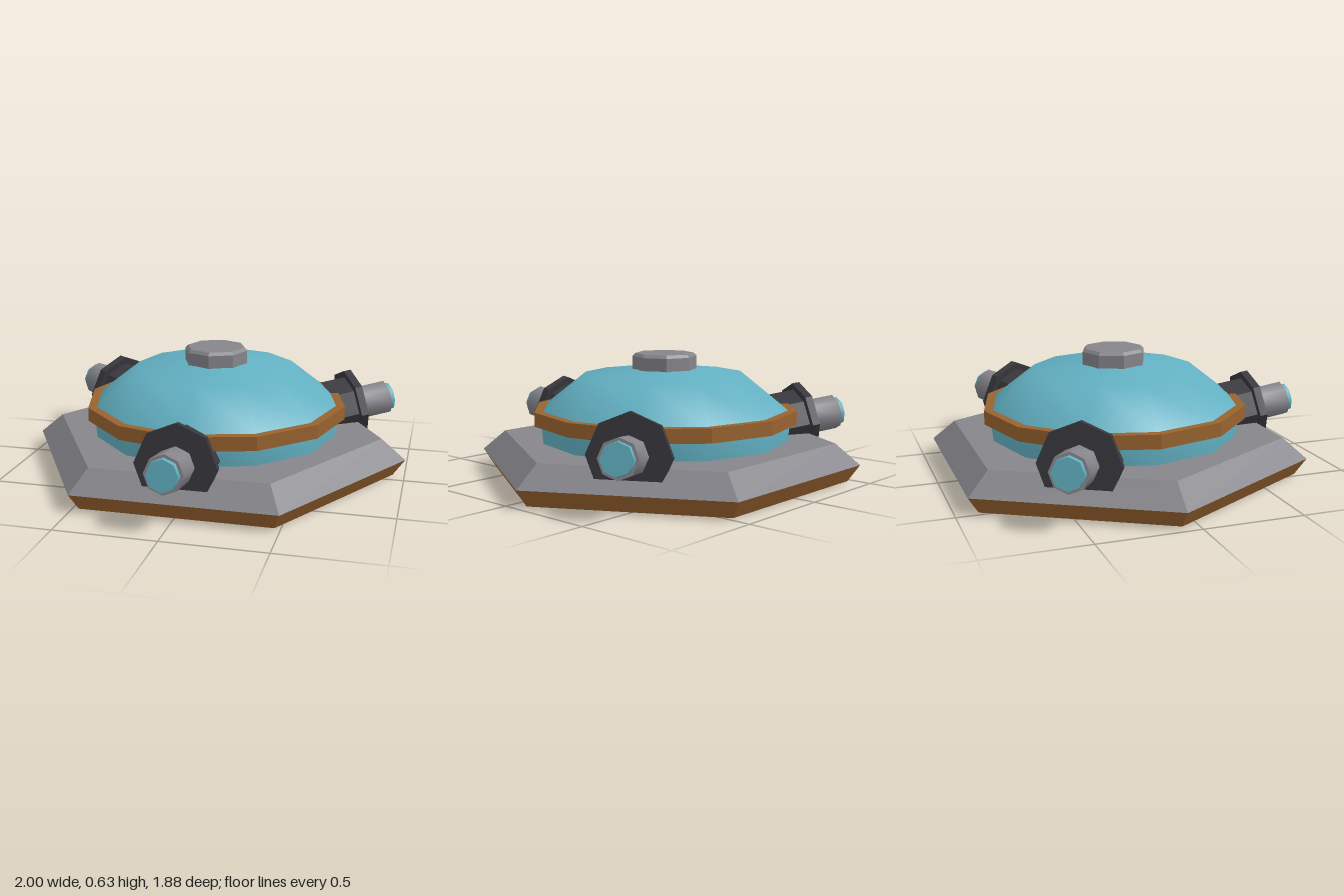
import * as THREE from 'three';
import { toCreasedNormals } from 'three/addons/utils/BufferGeometryUtils.js';

function material(name, color) {
  const m = new THREE.MeshStandardMaterial({ color });
  m.name = name;
  return m;
}

export function createModel() {
  const teal = material('teal', 0x62b0c2);
  const brown = material('brown', 0x98622e);
  const grey = material('grey', 0x85858b);
  const dark = material('dark', 0x37373d);

  const model = new THREE.Group();
  model.name = 'domedTurretBase';
  const body = new THREE.Group();
  body.name = 'body';
  body.position.z = -0.075;
  model.add(body);

  const add = (parent, name, geometry, mat) => {
    const mesh = new THREE.Mesh(geometry, mat);
    mesh.name = name;
    parent.add(mesh);
    return mesh;
  };
  const flat = (geometry) => toCreasedNormals(geometry, 0.3);

  // Upright frustum between two heights
  const frustum = (r0, r1, y0, y1, sides) =>
    new THREE.CylinderGeometry(r1, r0, y1 - y0, sides).translate(0, (y0 + y1) / 2, 0);
  // Frustum along +z between two depths
  const barrelShape = (r0, r1, z0, z1) => frustum(r0, r1, z0, z1, 8).rotateX(Math.PI / 2);
  const lathe = (points, sides) =>
    new THREE.LatheGeometry(points.map(([r, y]) => new THREE.Vector2(r, y)), sides);

  // Hexagonal base: skirt with dark underside, then the sloped deck
  add(body, 'baseSkirt', flat(frustum(0.94, 1, 0, 0.085, 6).rotateY(Math.PI / 6)), [brown, brown, dark]);
  add(body, 'deck', flat(frustum(1, 0.875, 0.085, 0.19, 6).rotateY(Math.PI / 6)), grey);

  // Twelve-sided smooth dome with a belt and a top cap
  add(body, 'dome', lathe([[0.635, 0.17], [0.645, 0.27], [0.635, 0.35], [0.42, 0.52], [0, 0.565]], 12), teal);
  add(body, 'belt', flat(lathe([[0.61, 0.28], [0.68, 0.28], [0.68, 0.35], [0.61, 0.35]], 12)), brown);
  add(body, 'cap', flat(lathe([[0.165, 0.535], [0.165, 0.613], [0.15, 0.628], [0, 0.628]], 8)), grey);

  // Three emitters around the dome, tilted slightly upward
  for (let i = 0; i < 3; i++) {
    const arm = new THREE.Group();
    arm.name = 'emitterArm' + (i + 1);
    arm.rotation.y = (i * Math.PI * 2) / 3;
    body.add(arm);

    const emitter = new THREE.Group();
    emitter.name = 'emitter';
    emitter.position.set(0, 0.245, 0.775);
    emitter.rotation.x = -0.14;
    arm.add(emitter);

    add(emitter, 'mount', flat(barrelShape(0.165, 0.165, -0.3, 0)), dark);
    add(emitter, 'flange', flat(barrelShape(0.2, 0.2, -0.022, 0.018)), dark);
    add(emitter, 'barrel', toCreasedNormals(barrelShape(0.094, 0.094, 0, 0.205), 0.9), grey);
    add(emitter, 'lens', toCreasedNormals(barrelShape(0.081, 0.076, 0.19, 0.232), 0.9), teal);
  }
  return model;
}
